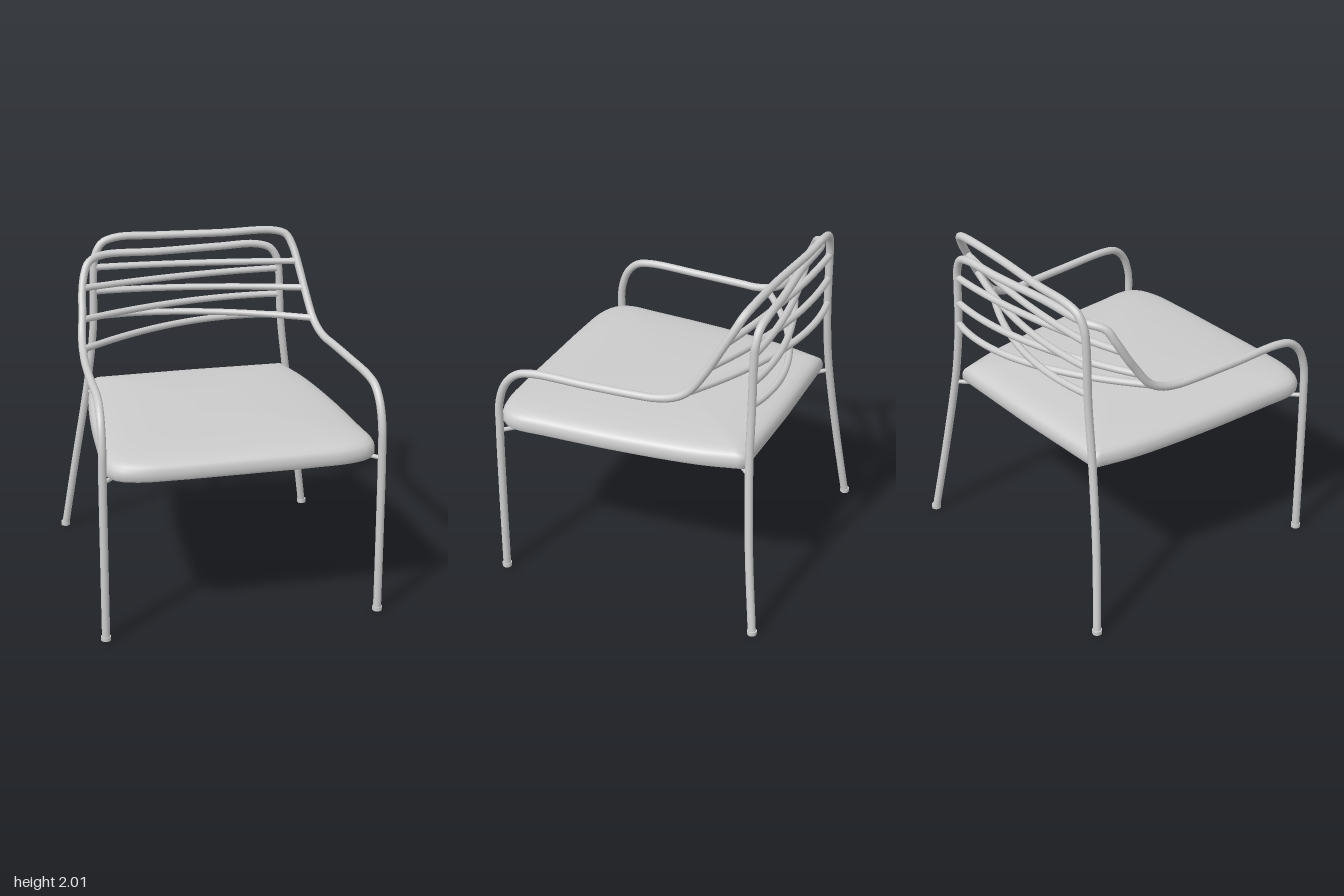
import * as THREE from 'three';

const material = new THREE.MeshStandardMaterial({ color: 0xcccccc });
const doubleSided = new THREE.MeshStandardMaterial({ color: 0xcccccc, side: THREE.DoubleSide });
const vec = (p) => new THREE.Vector3(...p);

function addMesh(parent, name, geometry, mat = material) {
  const mesh = new THREE.Mesh(geometry, mat);
  mesh.name = name;
  parent.add(mesh);
  return mesh;
}

// One continuous tube: front leg, arm, back hoop, opposite back leg.
// side is the arm's side, drop lowers the hoop.
function frameCurve(side, drop) {
  const arm = [
    [0.82, 0, 0.785], [0.818, 0.5, 0.783], [0.815, 1.0, 0.777], [0.812, 1.17, 0.77],
    [0.808, 1.3, 0.725], [0.803, 1.375, 0.65], [0.797, 1.4, 0.55], [0.785, 1.4, 0.2],
    [0.767, 1.4, -0.1], [0.757, 1.402, -0.2], [0.747, 1.425, -0.31],
    [0.735, 1.475, -0.395], [0.715, 1.6, -0.485],
  ];
  const armCorner = [
    [0.69, 1.76, -0.575], [0.665, 1.88, -0.64], [0.63, 1.95, -0.675],
  ].map(([x, y, z]) => [x + 0.2 * drop, y - drop, z + 0.5 * drop]);
  const hoop = [
    [0.55, 1.976, -0.692], [0.2, 1.976, -0.702], [-0.2, 1.976, -0.735], [-0.45, 1.976, -0.743],
    [-0.545, 1.945, -0.737], [-0.59, 1.87, -0.731], [-0.602, 1.78, -0.728],
  ].map(([x, y, z]) => [x, y - drop, z]);
  const backLeg = [
    [-0.615, 1.4, -0.728], [-0.65, 1.1, -0.735], [-0.68, 0.9, -0.748],
    [-0.745, 0.5, -0.785], [-0.82, 0, -0.845],
  ];
  const points = [...arm, ...armCorner, ...hoop, ...backLeg];
  return new THREE.CatmullRomCurve3(points.map(([x, y, z]) => vec([x * side, y, z])));
}

// Seat outline in plan: curved front and sides, straight back edge
function seatOutline() {
  const half = new THREE.CatmullRomCurve3([
    [0, 0, 0.86], [0.4, 0, 0.858], [0.62, 0, 0.845], [0.74, 0, 0.8], [0.79, 0, 0.72],
    [0.785, 0, 0.5], [0.755, 0, 0], [0.7, 0, -0.45], [0.635, 0, -0.71],
  ].map(vec)).getSpacedPoints(48);
  for (let i = 1; i <= 8; i++) half.push(vec([0.635 * (1 - i / 8), 0, -0.71 - 0.01 * (i / 8)]));
  const mirrored = half.slice(1, -1).reverse().map((p) => vec([-p.x, 0, p.z]));
  return [...half, ...mirrored];
}

// Cushion: rings of the outline, scaled and lifted along a domed profile
function cushionGeometry(outline) {
  const profile = [
    [0.988, 0.985], [0.998, 1.0], [1, 1.025], [0.994, 1.05], [0.98, 1.07], [0.95, 1.087],
    [0.9, 1.099], [0.8, 1.11], [0.6, 1.122], [0.3, 1.129], [0, 1.13],
  ];
  const centre = 0.07;
  const n = outline.length;
  const positions = [];
  const index = [];
  for (const [s, y] of profile) {
    for (const p of outline) positions.push(p.x * s, y, centre + (p.z - centre) * s);
  }
  for (let r = 0; r < profile.length - 1; r++) {
    for (let i = 0; i < n; i++) {
      const a = r * n + i;
      const b = r * n + ((i + 1) % n);
      index.push(a, b, a + n, b, b + n, a + n);
    }
  }
  const geometry = new THREE.BufferGeometry();
  geometry.setAttribute('position', new THREE.Float32BufferAttribute(positions, 3));
  geometry.setIndex(index);
  geometry.computeVertexNormals();
  return geometry;
}

export function createModel() {
  const model = new THREE.Group();
  model.name = 'armchair';

  // Two crossing tube frames, each carrying three slats
  const frames = [
    { name: 'upperFrame', side: 1, drop: 0, slats: [1.47, 1.63, 1.79] },
    { name: 'lowerFrame', side: -1, drop: 0.096, slats: [1.4, 1.54, 1.71] },
  ];
  for (const { name, side, drop, slats } of frames) {
    const group = new THREE.Group();
    group.name = name;
    model.add(group);
    const curve = frameCurve(side, drop);
    addMesh(group, 'frameTube', new THREE.TubeGeometry(curve, 240, 0.024, 16));

    // Slats bow from the rising arm to the opposite back leg
    const samples = curve.getSpacedPoints(600);
    for (const y of slats) {
      const start = samples.find((p) => p.z < -0.26 && p.y >= y);
      const end = samples.findLast((p) => p.y >= y);
      const control = vec([0, y, -1.4 - 0.5 * (start.z + end.z)]);
      const bow = new THREE.QuadraticBezierCurve3(start, control, end);
      addMesh(group, 'backSlat', new THREE.TubeGeometry(bow, 48, 0.021, 12));
    }

    // Foot caps
    for (const p of [samples[0], samples[samples.length - 1]]) {
      const foot = addMesh(group, 'footCap', new THREE.CylinderGeometry(0.029, 0.029, 0.024, 20));
      foot.position.set(p.x, 0.012, p.z);
    }

    // Diagonal brace under the seat
    const brace = new THREE.LineCurve3(
      vec([side * 0.812, 0.976, 0.775]), vec([side * -0.668, 0.976, -0.743]));
    addMesh(group, 'seatBrace', new THREE.TubeGeometry(brace, 1, 0.013, 12));
  }

  // Seat cushion and its flat underside
  const outline = seatOutline();
  addMesh(model, 'seatCushion', cushionGeometry(outline));
  const shape = new THREE.Shape(
    outline.map((p) => new THREE.Vector2(p.x * 0.988, 0.07 + (p.z - 0.07) * 0.988)));
  const base = addMesh(model, 'seatBase', new THREE.ShapeGeometry(shape), doubleSided);
  base.rotation.x = Math.PI / 2;
  base.position.y = 0.985;

  return model;
}
